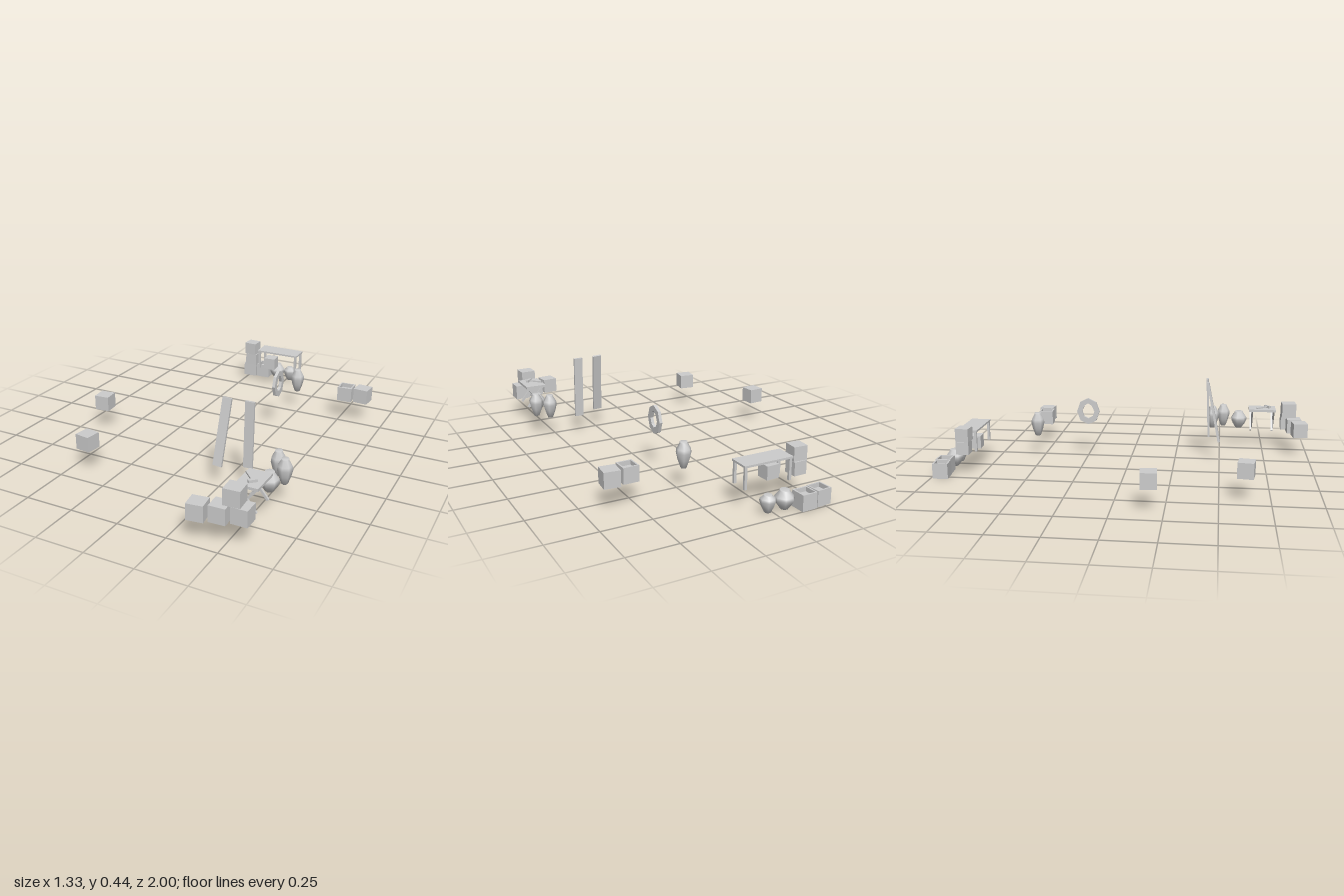
import * as THREE from 'three';

const grey = new THREE.MeshStandardMaterial({ color: 0xcccccc, flatShading: true });
const smooth = new THREE.MeshStandardMaterial({ color: 0xcccccc, side: THREE.DoubleSide });

export function createModel() {
  const root = new THREE.Group();

  const add = (parent, name, geometry, x = 0, y = 0, z = 0, material = grey) => {
    const mesh = new THREE.Mesh(geometry, material);
    mesh.name = name;
    mesh.position.set(x, y, z);
    parent.add(mesh);
    return mesh;
  };
  const group = (name, x, y, z, turn = 0) => {
    const g = new THREE.Group();
    g.name = name;
    g.position.set(x, y, z);
    g.rotation.y = THREE.MathUtils.degToRad(turn);
    root.add(g);
    return g;
  };
  // Rectangular bar running between two points
  const bar = (parent, name, a, b, width, depth) => {
    const from = new THREE.Vector3(...a), to = new THREE.Vector3(...b);
    const up = to.clone().sub(from);
    const mesh = add(parent, name, new THREE.BoxGeometry(width, up.length(), depth));
    mesh.position.copy(from).add(to).multiplyScalar(0.5);
    up.normalize();
    const side = new THREE.Vector3(1, 0, 0).addScaledVector(up, -up.x).normalize();
    mesh.quaternion.setFromRotationMatrix(
      new THREE.Matrix4().makeBasis(side, up, side.clone().cross(up)));
    return mesh;
  };

  // Crates: x, base y, z, size, turn in degrees, open top
  const crates = [
    [-0.243, 0.003, -0.95, 0.08, 5, true], [-0.157, 0.003, -0.96, 0.08, 2, true],
    [-0.19, 0.12, -0.842, 0.068, 2, false], [-0.192, 0.19, -0.838, 0.07, -3, false],
    [-0.055, 0.118, -0.818, 0.068, 4, false],
    [0.527, 0.117, -0.55, 0.08, 2, true], [0.62, 0.117, -0.563, 0.08, -5, false],
    [-0.623, 0.117, 0.175, 0.08, 5, false], [-0.415, 0.117, 0.628, 0.08, -8, false],
    [0.38, 0.117, 0.95, 0.08, 7, false], [0.475, 0.117, 0.925, 0.08, 2, false],
    [0.565, 0.117, 0.896, 0.08, 0, false], [0.528, 0.198, 0.897, 0.08, 3, false],
  ];
  for (const [x, y, z, s, turn, open] of crates) {
    const g = group('crate', x, y, z, turn);
    if (!open) {
      add(g, 'crateBody', new THREE.BoxGeometry(s, s, s), 0, s / 2, 0);
      continue;
    }
    const t = s * 0.1, mid = s / 2 - t / 2;
    add(g, 'crateFloor', new THREE.BoxGeometry(s - t, s * 0.72, s - t), 0, s * 0.36, 0);
    for (const k of [-1, 1]) {
      add(g, 'crateSide', new THREE.BoxGeometry(t, s, s), k * mid, s / 2, 0);
      add(g, 'crateEnd', new THREE.BoxGeometry(s - 2 * t, s, t), 0, s / 2, k * mid);
    }
  }

  // Jars: x, base y, z, radius, height, height fraction of the widest ring
  const jars = [
    [-0.06, 0.01, -0.94, 0.048, 0.093, 0.55], [0.027, 0.01, -0.937, 0.039, 0.085, 0.7],
    [0.233, 0.117, -0.54, 0.038, 0.132, 0.62], [0.537, 0.117, 0.455, 0.038, 0.128, 0.62],
    [0.595, 0.117, 0.518, 0.038, 0.128, 0.62], [0.56, 0.117, 0.61, 0.048, 0.098, 0.55],
  ];
  for (const [x, y, z, r, h, w] of jars) {
    const profile = [[0, 0], [0.4, 0], [0.78, w * 0.5], [1, w * 0.93],
      [0.93, w + 0.1], [0.5, 0.95], [0.5, 1], [0, 1]]
      .map(([a, b]) => new THREE.Vector2(a * r, b * h));
    add(root, 'jar', new THREE.LatheGeometry(profile, 7), x, y, z, smooth);
  }

  // Long table with four straight legs
  const table = group('longTable', -0.005, 0, -0.84);
  add(table, 'tableTop', new THREE.BoxGeometry(0.258, 0.01, 0.107), 0, 0.225, 0);
  for (const sx of [-1, 1]) for (const sz of [-1, 1])
    add(table, 'tableLeg', new THREE.BoxGeometry(0.013, 0.108, 0.013), sx * 0.119, 0.168, sz * 0.043);

  // Work bench on crossed legs
  const bench = group('workBench', 0.543, 0, 0.745);
  add(bench, 'benchTop', new THREE.BoxGeometry(0.112, 0.013, 0.155), 0, 0.235, 0);
  for (const sz of [-1, 1]) for (const sx of [-1, 1])
    bar(bench, 'benchLeg', [sx * 0.045, 0.115, sz * 0.062 + sx * 0.004],
      [-sx * 0.045, 0.23, sz * 0.062 + sx * 0.004], 0.012, 0.01);

  // Hammer lying on the bench
  const hammer = group('hammer', 0.549, 0.248, 0.773, -47);
  add(hammer, 'hammerHandle', new THREE.BoxGeometry(0.085, 0.008, 0.008), -0.038, 0, 0);
  add(hammer, 'hammerHead', new THREE.BoxGeometry(0.015, 0.013, 0.042), 0.004, 0, 0);

  // Two leaning planks
  bar(root, 'plank', [0.239, 0.11, 0.495], [0.259, 0.442, 0.427], 0.047, 0.013);
  bar(root, 'plank', [0.373, 0.105, 0.436], [0.373, 0.442, 0.422], 0.047, 0.012);

  // Upright eight-sided ring with a hole that narrows to the top
  const ring = new THREE.Shape(), hole = new THREE.Path();
  const outer = [], inner = [];
  for (let i = 0; i < 8; i++) {
    const a = i / 8 * Math.PI * 2, s = Math.sin(a), c = Math.cos(a);
    outer.push(new THREE.Vector2(c * 0.064, s * 0.075));
    inner.push(new THREE.Vector2(c * (s > 0.1 ? 0.029 : 0.035), s * (s > 0 ? 0.047 : 0.041)));
  }
  ring.setFromPoints(outer);
  hole.setFromPoints(inner);
  ring.holes.push(hole);
  const ringGeometry = new THREE.ExtrudeGeometry(ring, { depth: 0.016, bevelEnabled: false });
  ringGeometry.translate(0, 0, -0.008).rotateY(Math.PI / 2);
  add(root, 'collarRing', ringGeometry, 0.233, 0.266, -0.245);

  return root;
}
